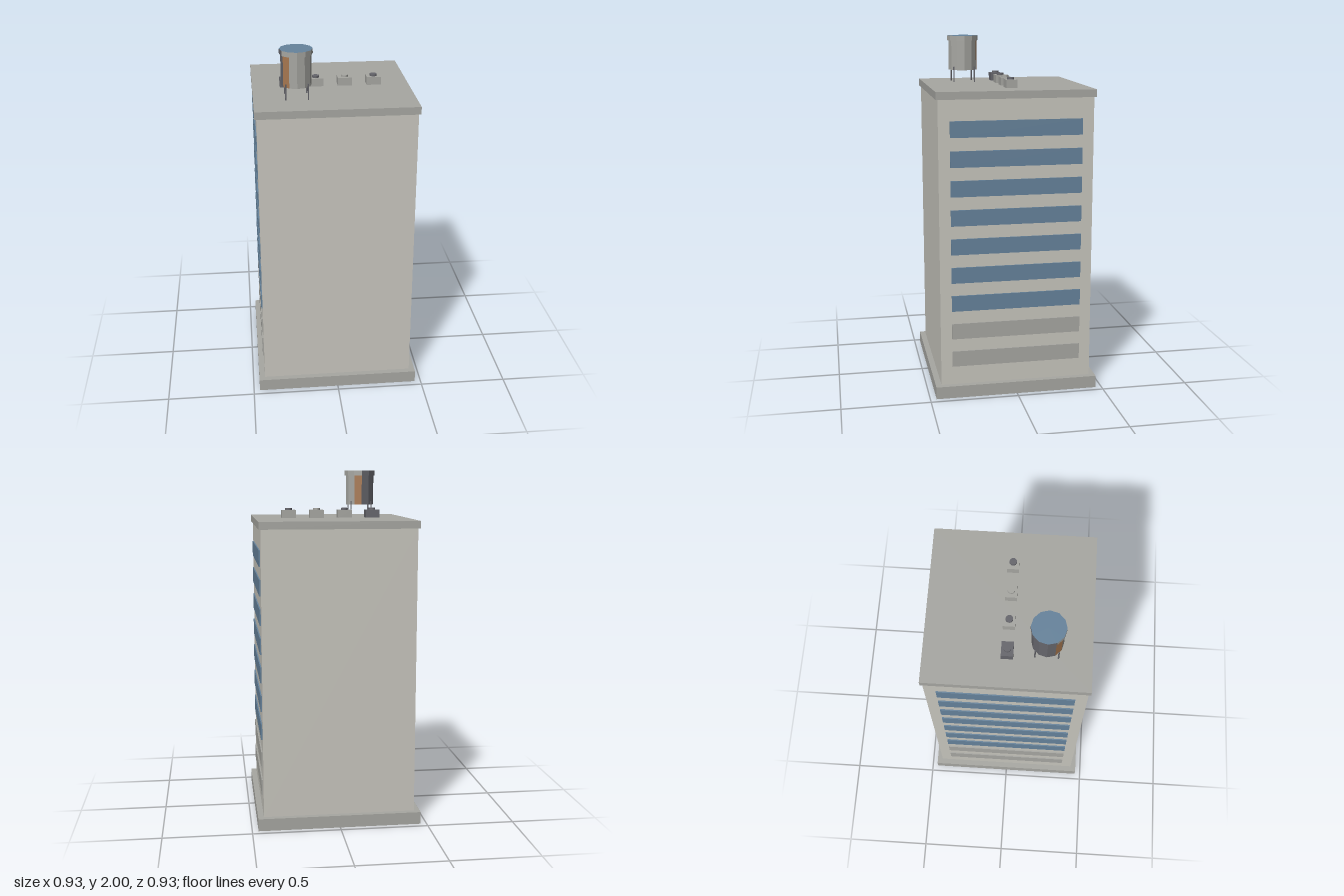
import * as THREE from 'three';

const paint = (color) => new THREE.MeshStandardMaterial({ color, flatShading: true });

export function createModel() {
  const model = new THREE.Group();
  model.name = 'officeTower';
  const wall = paint(0xc8c6be), trim = paint(0xa7a7a2), glass = paint(0x66839c);
  const dark = paint(0x66666c), rust = paint(0xa87850);

  const add = (parent, name, geometry, material, x, y, z) => {
    const mesh = new THREE.Mesh(geometry, material);
    mesh.name = name;
    mesh.position.set(x, y, z);
    parent.add(mesh);
    return mesh;
  };
  // Box resting on height y0 and reaching y1
  const slab = (parent, name, w, y0, y1, d, material, x = 0, z = 0) =>
    add(parent, name, new THREE.BoxGeometry(w, y1 - y0, d), material, x, (y0 + y1) / 2, z);

  // Plinth, tower and roof
  slab(model, 'plinth', 0.93, 0, 0.07, 0.93, trim);
  slab(model, 'tower', 0.864, 0.07, 1.69, 0.864, wall);
  slab(model, 'roofSlab', 0.885, 1.688, 1.73, 0.885, trim);

  // Window bands on both sides; the two lowest floors are shuttered
  for (const side of [-1, 1]) {
    for (let i = 0; i < 9; i++) {
      const y = 0.178 + i * 0.163;
      slab(model, i < 2 ? 'shutterBand' : 'windowBand', 0.016, y, y + 0.09, 0.736,
        i < 2 ? trim : glass, side * 0.431);
    }
  }

  // Row of rooftop air conditioners with fans
  for (let i = 0; i < 4; i++) {
    const unit = new THREE.Group();
    unit.name = 'airConditioner';
    unit.position.set(-0.246 + i * 0.1635, 0, -0.001);
    slab(unit, 'unitBox', 0.081, 1.73, 1.775, 0.064, i === 0 ? dark : trim);
    add(unit, 'fan', new THREE.CylinderGeometry(0.02, 0.02, 0.011, 16), i === 2 ? trim : dark, 0, 1.7805, 0);
    model.add(unit);
  }

  // Water tank on four legs
  const tank = new THREE.Group();
  tank.name = 'waterTank';
  tank.position.set(-0.205, 0, 0.203);
  model.add(tank);
  for (const x of [-0.061, 0.061]) {
    for (const z of [-0.061, 0.061]) {
      add(tank, 'tankLeg', new THREE.CylinderGeometry(0.004, 0.004, 0.09, 6), dark, x, 1.775, z);
    }
  }
  // Twelve-sided drum, one material per facet
  const drum = (name, radius, y0, y1, facetMaterial, topMaterial) => {
    const geometry = new THREE.CylinderGeometry(radius, radius, y1 - y0, 12);
    const [, top, bottom] = geometry.groups.map((g) => ({ ...g }));
    geometry.clearGroups();
    const materials = [topMaterial, trim];
    geometry.addGroup(top.start, top.count, 0);
    geometry.addGroup(bottom.start, bottom.count, 1);
    for (let i = 0; i < 12; i++) {
      geometry.addGroup(i * 6, 6, materials.length);
      materials.push(facetMaterial(i));
    }
    add(tank, name, geometry, materials, 0, (y0 + y1) / 2, 0);
  };
  const weathered = (i) => (i === 5 || i === 10 ? rust : i > 5 && i < 10 ? dark : trim);
  drum('tankBody', 0.084, 1.8, 1.975, weathered, trim);
  drum('tankLid', 0.091, 1.972, 2, (i) => (i > 5 && i < 10 ? dark : trim), glass);

  return model;
}
